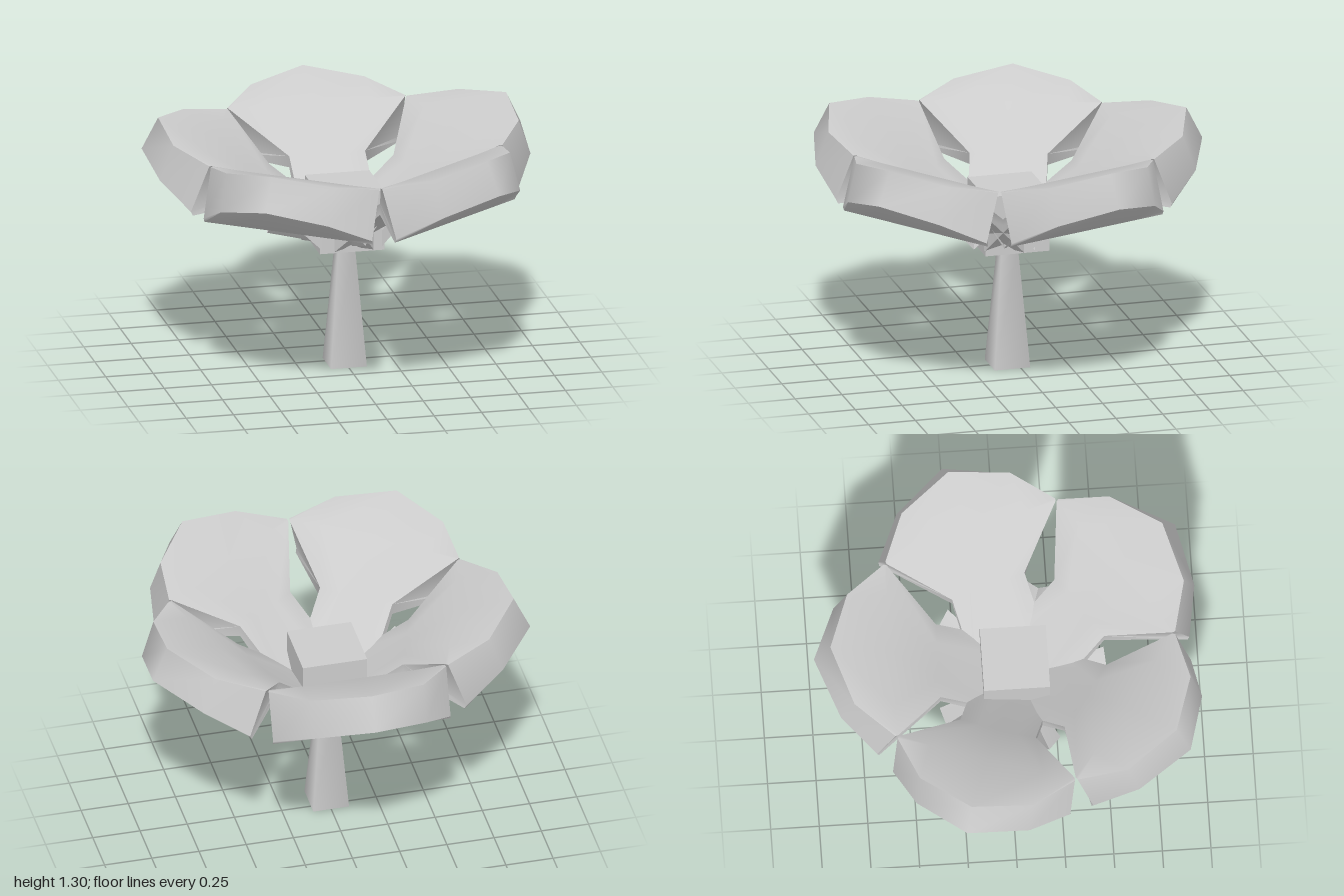
import * as THREE from 'three';
import { toCreasedNormals } from 'three/addons/utils/BufferGeometryUtils.js';

const grey = new THREE.MeshStandardMaterial({ color: 0xcccccc, side: THREE.DoubleSide });

// Mirrored cross-section: [centre, middle, edge], each [half width, height, distance out]
const mirrorRow = ([c, m, e]) => {
  const flip = ([x, y, r]) => [-x, y, r];
  return [flip(e), flip(m), c, m, e];
};

// Loft a sheet through rows of points, with optional extra triangles
function loft(rows, extra = []) {
  const n = rows[0].length, index = [];
  for (let i = 0; i < rows.length - 1; i++) {
    for (let j = 0; j < n - 1; j++) {
      const a = i * n + j, b = a + n;
      index.push(a, b, a + 1, a + 1, b, b + 1);
    }
  }
  const geo = new THREE.BufferGeometry();
  geo.setAttribute('position', new THREE.Float32BufferAttribute(rows.flat(2), 3));
  geo.setIndex(index.concat(extra));
  return toCreasedNormals(geo, 1.1);
}

// Solid petal: rows run out along the top, over the rim and back underneath
function petalGeometry() {
  const rows = [
    [[0, 0.76, 0.1], [0.1, 0.76, 0.1], [0.2, 0.76, 0.1]],         // claw top, inner
    [[0, 0.99, 0.41], [0.1, 0.99, 0.41], [0.2, 1.0, 0.41]],       // claw top, outer
    [[0, 1.2, 0.655], [0.3, 1.2, 0.655], [0.465, 1.2, 0.645]],    // straight ridge
    [[0, 1.3, 0.965], [0.3, 1.25, 0.86], [0.47, 1.2, 0.66]],      // rim
    [[0, 1.13, 1.05], [0.3, 1.06, 0.93], [0.47, 0.95, 0.755]],    // widest outline
    [[0, 0.93, 0.745], [0.3, 0.93, 0.745], [0.47, 0.93, 0.745]],  // lower edge
    [[0, 0.93, 0.41], [0.1, 0.93, 0.41], [0.2, 0.94, 0.41]],      // claw underside, outer
    [[0, 0.67, 0.1], [0.1, 0.67, 0.1], [0.2, 0.67, 0.1]],         // claw underside, inner
  ].map(mirrorRow);
  // Side walls: the claw, then a fan around the petal's corner
  const walls = [[0, 1, 6], [0, 6, 7], [1, 2, 3], [1, 3, 4], [1, 4, 5], [1, 5, 6]];
  const sides = walls.flatMap(([a, b, c]) => [
    a * 5 + 4, b * 5 + 4, c * 5 + 4,
    a * 5, c * 5, b * 5,
  ]);
  return loft(rows, sides);
}

// Small V-shaped leaf under the gap between two petals
function sepalGeometry() {
  return loft([
    [[-0.03, 0.69, 0.1], [0, 0.66, 0.1], [0.03, 0.69, 0.1]],
    [[-0.065, 0.88, 0.455], [0, 0.78, 0.465], [0.065, 0.88, 0.455]],
  ]);
}

export function createModel() {
  const model = new THREE.Group();

  const add = (name, geometry, y, z, turn = 0) => {
    const mesh = new THREE.Mesh(geometry, grey);
    mesh.name = name;
    mesh.position.set(0, y, z);
    mesh.rotation.y = turn;
    model.add(mesh);
  };

  // Square tapered stem
  add('stem', new THREE.CylinderGeometry(0.06, 0.134, 0.65, 4), 0.325, 0.045, Math.PI / 4);

  // Block at the heart of the flower
  add('flowerCentre', new THREE.BoxGeometry(0.34, 0.32, 0.34), 0.81, 0.04);

  // Five petals with sepals between them
  const petal = petalGeometry(), sepal = sepalGeometry();
  for (let i = 0; i < 5; i++) {
    const turn = (i * Math.PI * 2) / 5;
    add('petal' + (i + 1), petal, 0, 0.055, Math.PI + turn);
    add('sepal' + (i + 1), sepal, 0, 0.045, turn);
  }
  return model;
}
